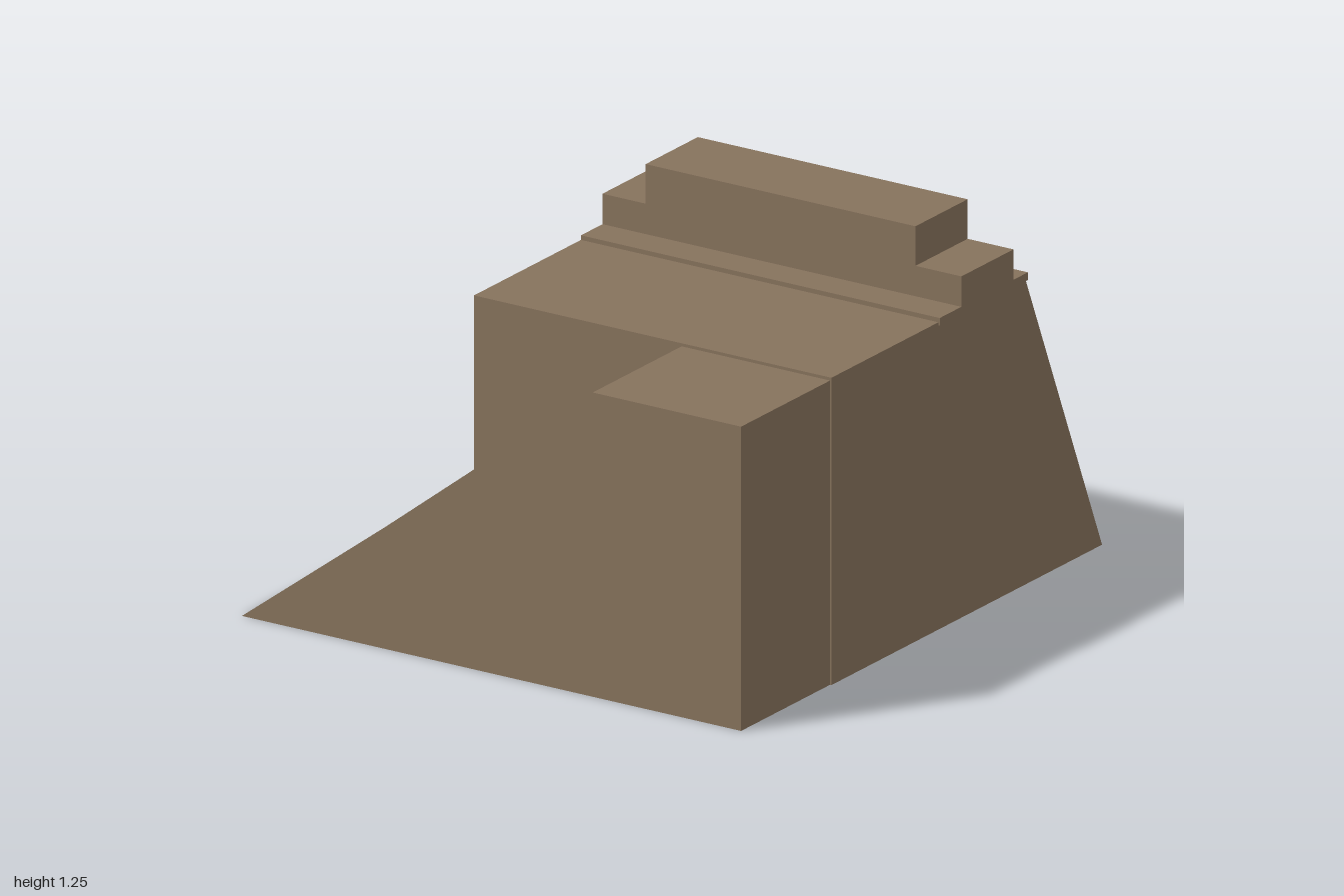
import * as THREE from 'three';

export function createModel() {
  const model = new THREE.Group();
  const earth = new THREE.MeshStandardMaterial({ color: 0x86725c });
  earth.name = 'earth brown';

  const add = (name, geometry) => {
    const mesh = new THREE.Mesh(geometry, earth);
    mesh.name = name;
    model.add(mesh);
    return mesh;
  };
  // Extrudes a closed outline by the given depth along z
  const prism = (points, depth) => new THREE.ExtrudeGeometry(
    new THREE.Shape(points.map(([x, y]) => new THREE.Vector2(x, y))),
    { depth, bevelEnabled: false });
  // Box given by its limits on each axis
  const block = (name, [x0, x1], [y0, y1], [z0, z1]) => {
    const g = new THREE.BoxGeometry(x1 - x0, y1 - y0, z1 - z0);
    g.translate((x0 + x1) / 2, (y0 + y1) / 2, (z0 + z1) / 2);
    add(name, g);
  };

  // Main bank: side outline (z, y) with a sloping back, swept along x
  const bank = prism([[-1, 0], [0.505, 0], [0.505, 1.01], [-0.57, 1.01], [-0.575, 1]], 1.325);
  bank.rotateY(-Math.PI / 2); // outline x becomes z, depth becomes -x
  bank.translate(0.925, 0, 0);
  add('bank', bank);

  // Side ramp with a flat landing at its top
  const ramp = prism([[-0.93, 0], [0.92, 0], [0.92, 1], [0.37, 1], [-0.4, 0.4]], 0.51);
  ramp.translate(0, 0, 0.49);
  add('ramp', ramp);

  // Stepped parapet
  block('parapetBase', [-0.4, 0.93], [1, 1.025], [-0.58, -0.09]);
  block('parapet', [-0.4, 0.93], [1.025, 1.125], [-0.5, -0.21]);
  block('parapetTop', [-0.24, 0.76], [1.125, 1.255], [-0.5, -0.21]);

  return model;
}
